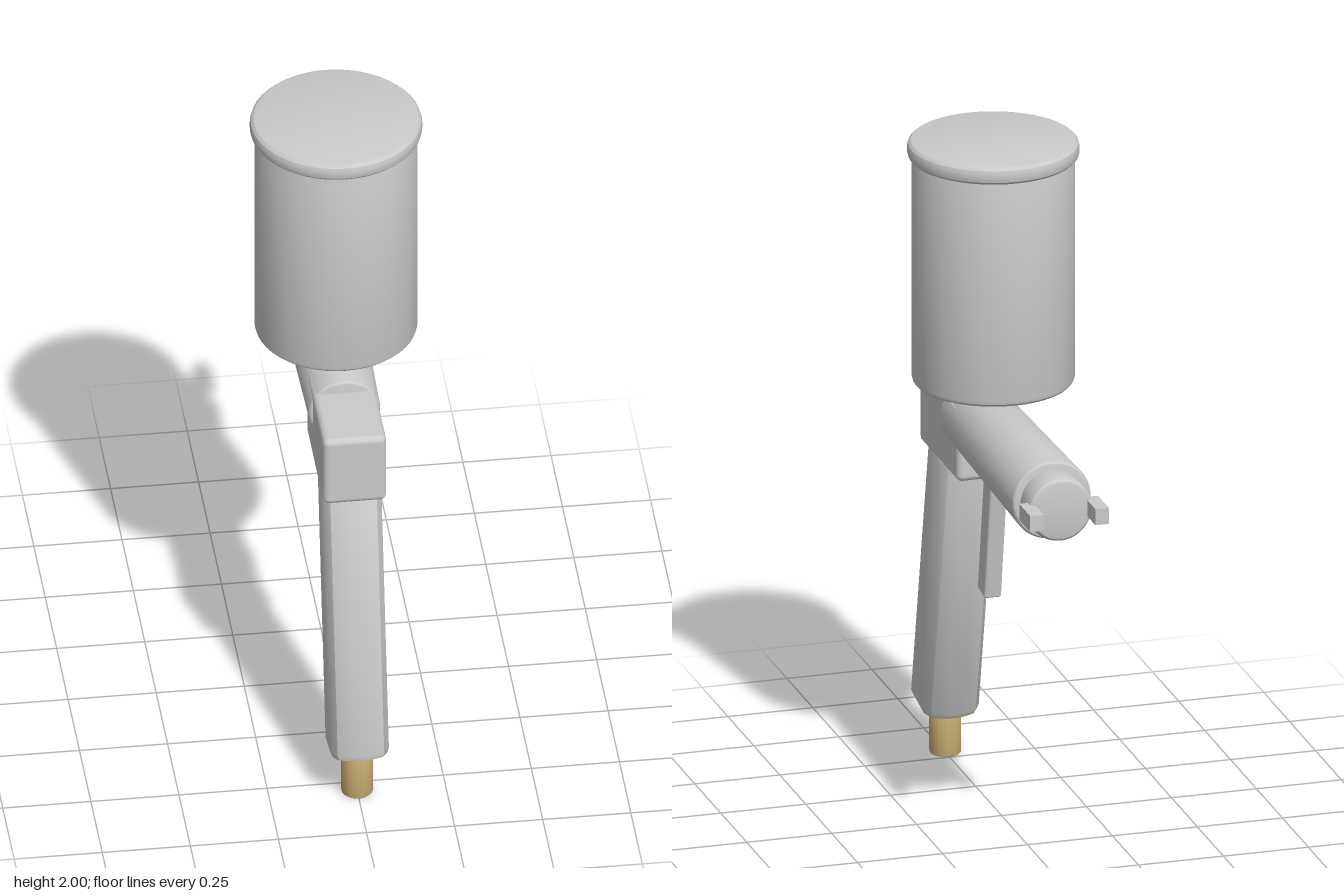
import * as THREE from 'three';
import { toCreasedNormals } from 'three/addons/utils/BufferGeometryUtils.js';
import { RoundedBoxGeometry } from 'three/addons/geometries/RoundedBoxGeometry.js';

const metal = new THREE.MeshStandardMaterial({ color: 0xcacac8 });
metal.name = 'light grey metal';
const brass = new THREE.MeshStandardMaterial({ color: 0xcbaf73 });
brass.name = 'brass';

// Solid of revolution along +y from 0 to h, with rounded rims
function roundedCylinder(r0, r1, h, bevel) {
  const pts = [new THREE.Vector2(0, 0)];
  const steps = 3;
  for (let i = 0; i <= steps; i++) {
    const a = (i / steps) * Math.PI / 2;
    pts.push(new THREE.Vector2(r0 - bevel + bevel * Math.sin(a), bevel - bevel * Math.cos(a)));
  }
  for (let i = 0; i <= steps; i++) {
    const a = (i / steps) * Math.PI / 2;
    pts.push(new THREE.Vector2(r1 - bevel + bevel * Math.cos(a), h - bevel + bevel * Math.sin(a)));
  }
  pts.push(new THREE.Vector2(0, h));
  return toCreasedNormals(new THREE.LatheGeometry(pts, 48), 0.4);
}

export function createModel() {
  const group = new THREE.Group();
  const add = (name, geometry, material, x, y, z, tilt = 0) => {
    const mesh = new THREE.Mesh(geometry, material);
    mesh.name = name;
    mesh.position.set(x, y, z);
    mesh.rotation.x = tilt;
    group.add(mesh);
    return mesh;
  };

  // Paint cup and its lid
  add('cup', roundedCylinder(0.23, 0.23, 0.69, 0.02), metal, 0, 1.275, 0.08);
  add('cupLid', roundedCylinder(0.243, 0.243, 0.055, 0.02), metal, 0, 1.945, 0.08);

  // Barrel widening towards the nozzle, which points to -z
  const along = -Math.PI / 2;
  add('barrel', roundedCylinder(0.102, 0.116, 0.76, 0.012), metal, 0, 1.115, 0.27, along);
  add('nozzle', roundedCylinder(0.094, 0.094, 0.11, 0.016), metal, 0, 1.115, -0.467, along);

  // Air cap horns
  for (const side of [-1, 1]) {
    add(side > 0 ? 'leftHorn' : 'rightHorn', new THREE.BoxGeometry(0.04, 0.048, 0.105),
      metal, side * 0.096, 1.115, -0.603);
  }

  // Block joining grip and barrel
  add('body', new RoundedBoxGeometry(0.18, 0.22, 0.37, 3, 0.018), metal, 0, 1.07, 0.315);

  // Slanted grip with bowed front and back
  const quarter = [[0.083, 0.055], [0.066, 0.085], [0.022, 0.1]];
  const back = quarter.slice().reverse();
  const outline = [
    ...quarter,
    ...back.map(([x, y]) => [-x, y]),
    ...quarter.map(([x, y]) => [-x, -y]),
    ...back.map(([x, y]) => [x, -y]),
  ].map(([x, y]) => new THREE.Vector2(x, y));
  const bevel = 0.022;
  const gripGeometry = new THREE.ExtrudeGeometry(new THREE.Shape(outline), {
    depth: 0.86 - 2 * bevel, bevelEnabled: true, bevelThickness: bevel,
    bevelSize: bevel, bevelOffset: -bevel, bevelSegments: 2,
  });
  gripGeometry.translate(0, 0, bevel).rotateX(-Math.PI / 2);
  add('grip', toCreasedNormals(gripGeometry, 0.6), metal, 0, 0.145, 0.55, -0.209);

  // Trigger
  add('trigger', new RoundedBoxGeometry(0.05, 0.46, 0.07, 2, 0.006), metal, 0, 0.855, 0.08, -0.165);

  // Air hose fitting
  add('airFitting', roundedCylinder(0.045, 0.045, 0.17, 0.008), brass, 0, 0, 0.543);

  return group;
}
